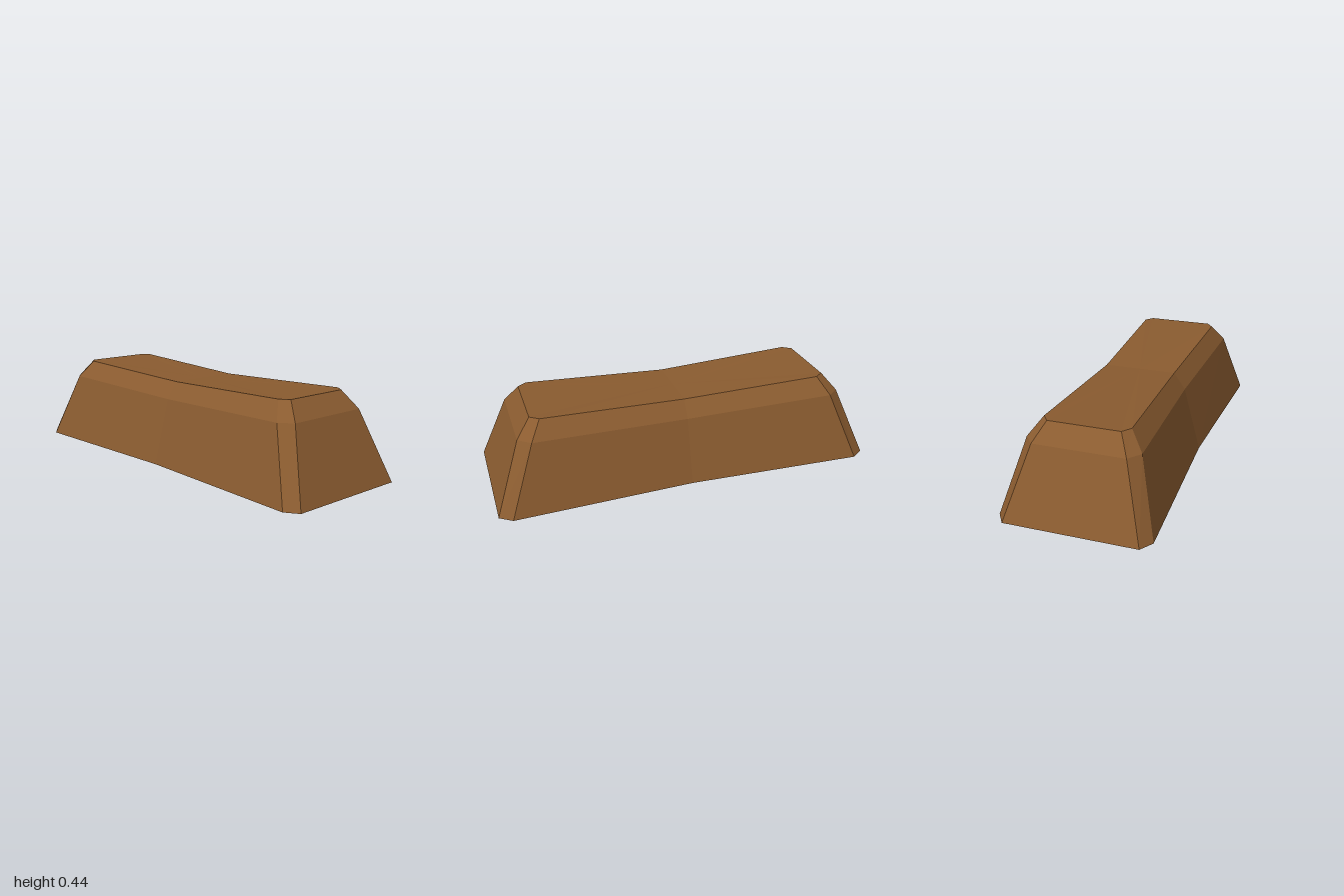
import * as THREE from 'three';

// Ring of ten points: chamfered rectangle, pinched at the middle.
function ring({ x, z, chamferX, chamferZ, midZ, y, midY }) {
  const half = [
    [0, midY, midZ], [chamferX, y, z], [x, y, chamferZ],
    [x, y, -chamferZ], [chamferX, y, -z],
  ];
  return [...half, ...half.map(([px, py, pz]) => [-px, py, -pz])];
}

export function createModel() {
  const brown = new THREE.MeshStandardMaterial({ color: 0x8b5c30, flatShading: true });
  brown.name = 'brown';

  // Cross-sections from the base, through the shoulder, to the top
  const rings = [
    ring({ x: 1.0, z: 0.375, chamferX: 0.935, chamferZ: 0.33, midZ: 0.338, y: 0, midY: 0 }),
    ring({ x: 0.863, z: 0.278, chamferX: 0.8, chamferZ: 0.227, midZ: 0.25, y: 0.356, midY: 0.335 }),
    ring({ x: 0.79, z: 0.212, chamferX: 0.745, chamferZ: 0.178, midZ: 0.19, y: 0.445, midY: 0.42 }),
  ];
  const n = rings[0].length;
  const positions = [];
  const tri = (a, b, c) => positions.push(...a, ...b, ...c);

  // Sloping sides and bevel
  for (let r = 0; r < rings.length - 1; r++) {
    for (let i = 0; i < n; i++) {
      const j = (i + 1) % n;
      const low = rings[r], high = rings[r + 1];
      tri(low[i], low[j], high[j]);
      tri(low[i], high[j], high[i]);
    }
  }

  // Flat base and slightly sagging top, fanned from their centres
  const base = rings[0], top = rings[2];
  for (let i = 0; i < n; i++) {
    const j = (i + 1) % n;
    tri([0, 0, 0], base[j], base[i]);
    tri([0, top[0][1], 0], top[i], top[j]);
  }

  const geometry = new THREE.BufferGeometry();
  geometry.setAttribute('position', new THREE.Float32BufferAttribute(positions, 3));
  geometry.computeVertexNormals();

  const bar = new THREE.Mesh(geometry, brown);
  bar.name = 'bar';
  const group = new THREE.Group();
  group.name = 'ingot';
  group.add(bar);
  return group;
}
